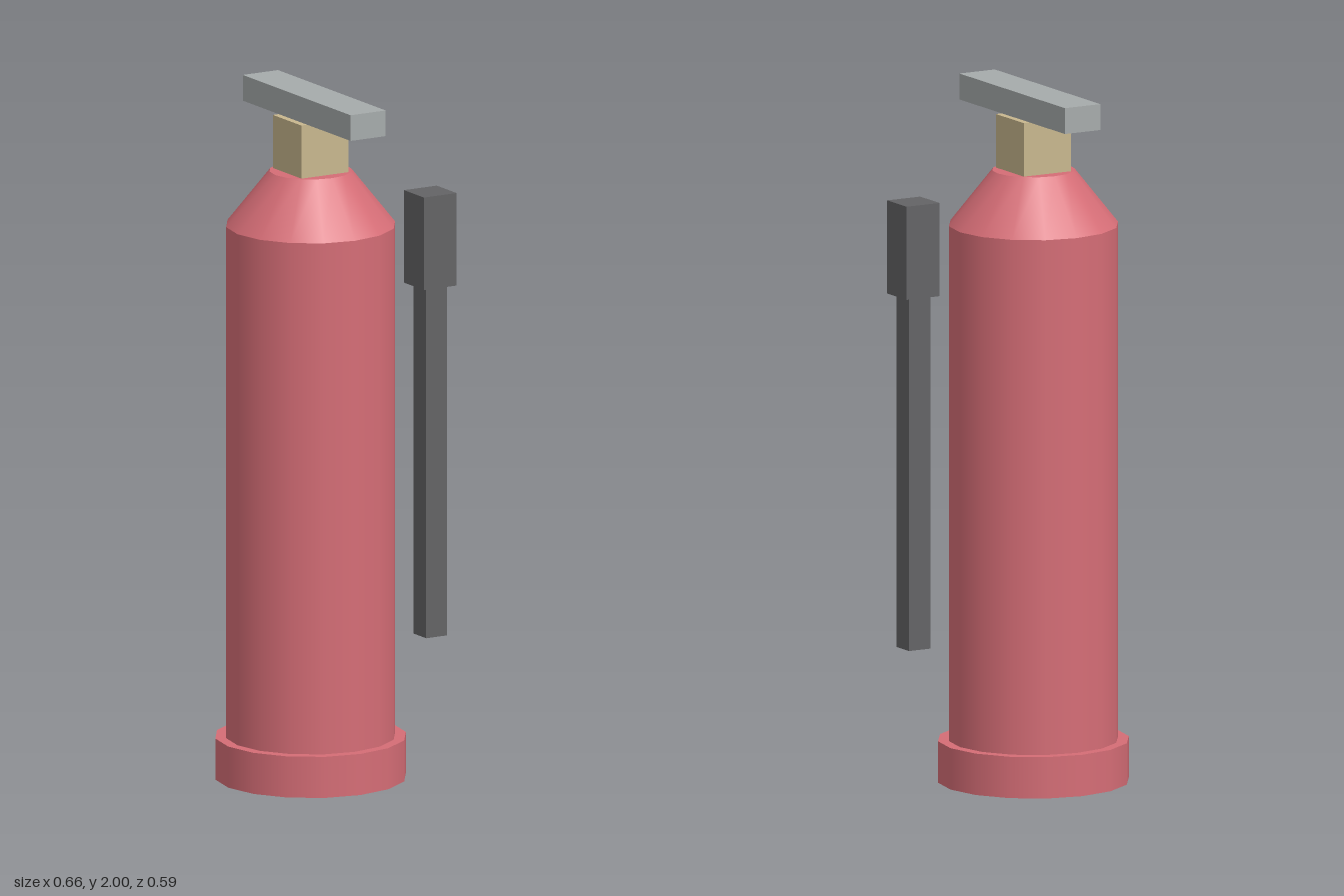
import * as THREE from 'three';

const material = (name, color) => {
  const m = new THREE.MeshStandardMaterial({ color });
  m.name = name;
  return m;
};

export function createModel() {
  const model = new THREE.Group();
  model.name = 'fireExtinguisher';

  const red = material('red', 0xd56d76);
  const brass = material('brass', 0xc8b78e);
  const steel = material('steel', 0xa6abab);
  const rubber = material('rubber', 0x636365);

  const tankX = -0.056, tankZ = -0.021;

  const add = (name, geometry, mat, x, y, z) => {
    const mesh = new THREE.Mesh(geometry, mat);
    mesh.name = name;
    mesh.position.set(x, y, z);
    model.add(mesh);
  };
  // Sixteen-sided round section standing between two heights
  const round = (name, rTop, rBottom, y0, y1) =>
    add(name, new THREE.CylinderGeometry(rTop, rBottom, y1 - y0, 16), red, tankX, (y0 + y1) / 2, tankZ);
  // Box standing between two heights
  const box = (name, mat, w, d, y0, y1, x, z) =>
    add(name, new THREE.BoxGeometry(w, y1 - y0, d), mat, x, (y0 + y1) / 2, z);

  // Tank
  round('baseRing', 0.274, 0.274, 0, 0.12);
  round('tank', 0.243, 0.243, 0.12, 1.612);
  round('shoulder', 0.118, 0.243, 1.612, 1.77);

  // Valve and lever
  box('valve', brass, 0.156, 0.156, 1.77, 1.925, tankX, tankZ);
  box('lever', steel, 0.117, 0.59, 1.925, 2, tankX, -0.001);

  // Hose and nozzle beside the tank
  box('hose', rubber, 0.07, 0.07, 0.397, 1.42, 0.273, 0.093);
  box('nozzle', rubber, 0.109, 0.109, 1.42, 1.69, 0.273, 0.093);

  return model;
}
